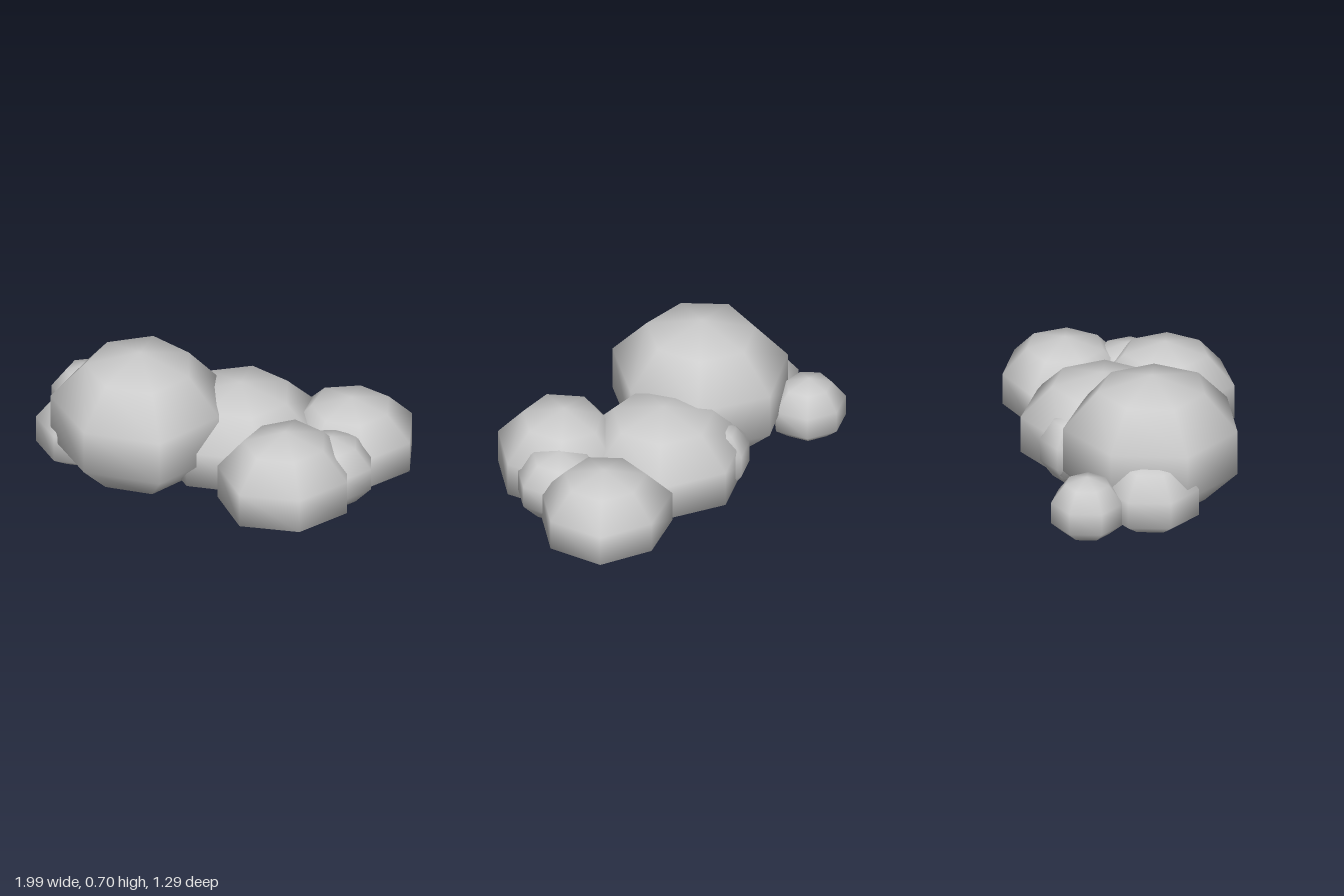
import * as THREE from 'three';
import { mergeVertices } from 'three/addons/utils/BufferGeometryUtils.js';

const SIDES = 7;
const even = Array(SIDES).fill(1);

// Seven-sided smooth boulder, its underside pressed flat onto the ground.
// bulges scales each of the seven corners, going from +x round the back.
function boulderGeometry(x, y, z, radius, halfHeight, bulges = even) {
  let geo = new THREE.SphereGeometry(1, SIDES, 5, Math.PI);
  const pos = geo.attributes.position;
  for (let i = 0; i < pos.count; i++) {
    const r = radius * bulges[(i % (SIDES + 1)) % SIDES];
    pos.setXYZ(i,
      x + pos.getX(i) * r,
      Math.max(0, y + pos.getY(i) * halfHeight),
      z + pos.getZ(i) * r);
  }
  geo.deleteAttribute('uv');
  geo.deleteAttribute('normal');
  geo = mergeVertices(geo, 1e-4);
  geo.computeVertexNormals();
  return geo;
}

export function createModel() {
  const group = new THREE.Group();
  group.name = 'boulderPile';
  const stone = new THREE.MeshStandardMaterial({ color: 0xcccccc });
  stone.name = 'stone grey';

  // name, centre x, y, z, radius, half height, corner bulges
  const boulders = [
    ['largeBoulder', -0.345, 0.30, 0.185, 0.485, 0.40, [1.01, 1, 1.04, 1, 1.03, 1.02, 1.07]],
    ['middleBoulder', 0.11, 0.155, -0.095, 0.465, 0.33, [1, 1, 1, 1, 1, 1.02, 1]],
    ['backLeftBoulder', 0.655, 0.14, -0.315, 0.36, 0.28, [1.01, 1.04, 0.99, 1.08, 1, 1, 1]],
    ['frontLeftBoulder', 0.53, 0.155, 0.22, 0.385, 0.31, [1, 1, 1, 0.88, 0.98, 1.04, 0.99]],
    ['leftSmallBoulder', 0.70, 0.17, 0.02, 0.25, 0.20],
    ['backRightSmallBoulder', -0.81, 0.125, -0.14, 0.208, 0.195, [1.09, 1, 0.98, 1, 1, 1, 1]],
    ['rightSmallBoulder', -0.665, 0.14, 0.195, 0.275, 0.24],
    ['backSmallBoulder', -0.13, 0.16, -0.24, 0.19, 0.20],
  ];
  for (const [name, ...shape] of boulders) {
    const mesh = new THREE.Mesh(boulderGeometry(...shape), stone);
    mesh.name = name;
    group.add(mesh);
  }
  return group;
}
